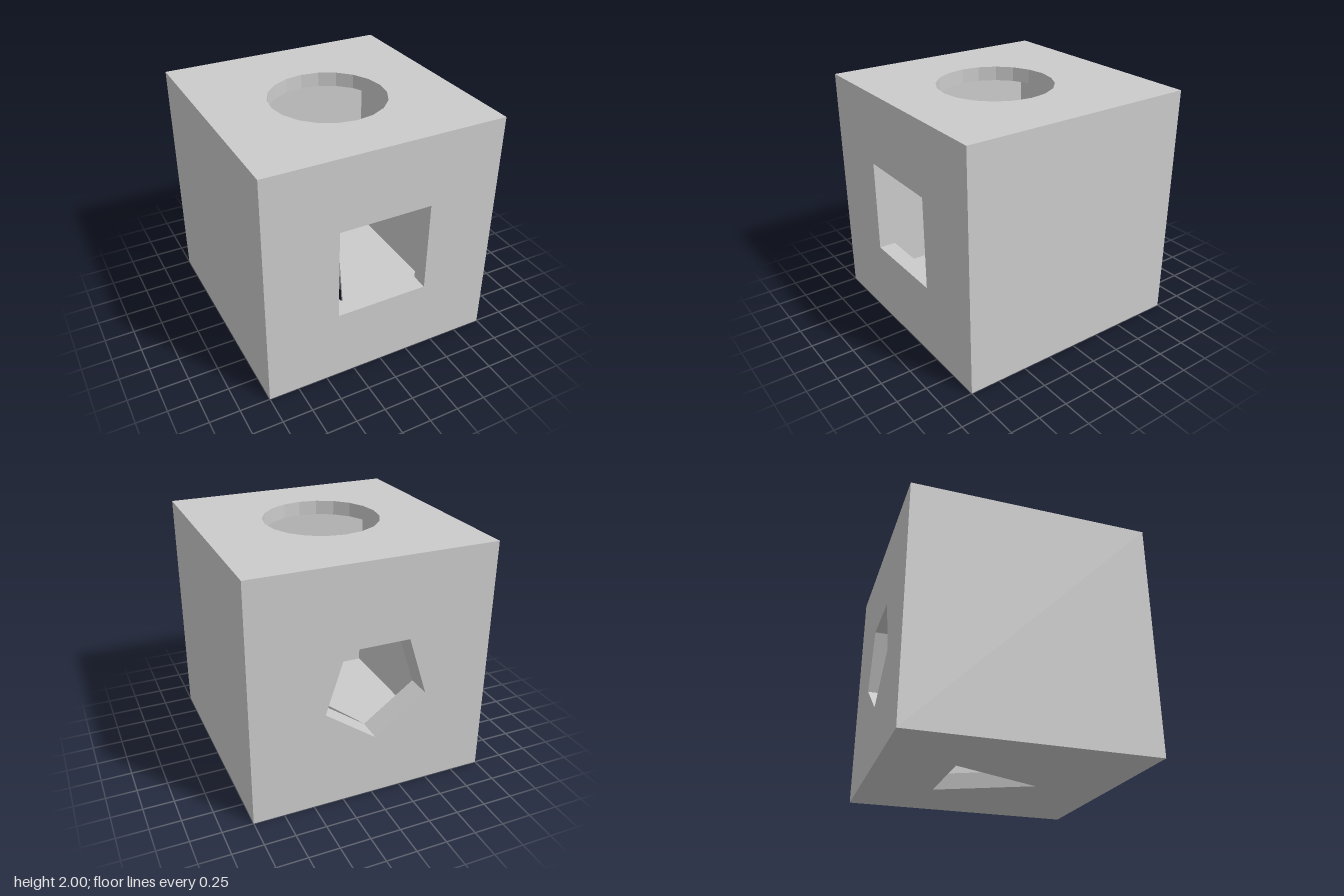
import * as THREE from 'three';
import { mergeGeometries } from 'three/addons/utils/BufferGeometryUtils.js';

// The cavity inside the box: its walls differ slightly in thickness.
const cavity = new THREE.Box3(
  new THREE.Vector3(-0.785, 0.135, -0.795),
  new THREE.Vector3(0.8, 1.88, 0.86)
);

const V = (x, y, z) => new THREE.Vector3(x, y, z);

// Regular polygon in 2D: centre, radius, number of sides, starting angle.
function polygon(cx, cy, r, sides, start) {
  return Array.from({ length: sides }, (_, i) => {
    const a = start + (i / sides) * Math.PI * 2;
    return [cx + r * Math.cos(a), cy + r * Math.sin(a)];
  });
}

function panel(minX, minY, maxX, maxY, z, hole, inward) {
  const shape = new THREE.Shape([
    new THREE.Vector2(minX, minY), new THREE.Vector2(maxX, minY),
    new THREE.Vector2(maxX, maxY), new THREE.Vector2(minX, maxY),
  ]);
  if (hole.length) shape.holes.push(new THREE.Path(hole));
  const geo = new THREE.ShapeGeometry(shape).translate(0, 0, z);
  if (inward) geo.index.array.reverse();
  const flat = geo.toNonIndexed();
  flat.deleteAttribute('uv');
  return flat;
}

// Strip lining a hole from the outer skin down to the inner skin.
function lining(hole, z0, z1) {
  const p = [];
  hole.forEach((a, i) => {
    const b = hole[(i + 1) % hole.length];
    p.push(a.x, a.y, z0, b.x, b.y, z0, b.x, b.y, z1);
    p.push(a.x, a.y, z0, b.x, b.y, z1, a.x, a.y, z1);
  });
  const geo = new THREE.BufferGeometry();
  geo.setAttribute('position', new THREE.Float32BufferAttribute(p, 3));
  geo.computeVertexNormals();
  return geo;
}

// One wall: outer skin, inner skin and the lining of its hole.
function wall(name, u, v, worldHole, material) {
  const frame = new THREE.Matrix4()
    .makeBasis(u, v, u.clone().cross(v)).setPosition(0, 1, 0);
  const toLocal = frame.clone().invert();
  const inner = cavity.clone().applyMatrix4(toLocal);
  const hole = worldHole.map((p) => {
    const q = p.clone().applyMatrix4(toLocal);
    return new THREE.Vector2(q.x, q.y);
  });
  if (hole.length && THREE.ShapeUtils.isClockWise(hole)) hole.reverse();

  const parts = [
    panel(-1, -1, 1, 1, 1, hole, false),
    panel(inner.min.x, inner.min.y, inner.max.x, inner.max.y, inner.max.z, hole, true),
  ];
  if (hole.length) parts.push(lining(hole, 1, inner.max.z));
  const geo = mergeGeometries(parts).applyMatrix4(frame);
  geo.computeVertexNormals();
  const mesh = new THREE.Mesh(geo, material);
  mesh.name = name;
  return mesh;
}

export function createModel() {
  const group = new THREE.Group();
  group.name = 'shapeSorterBox';
  const material = new THREE.MeshStandardMaterial({ color: 0xcccccc, flatShading: true });

  // Hole outlines
  const square = [V(-0.395, 0.615, 0), V(0.388, 0.615, 0), V(0.388, 1.395, 0), V(-0.395, 1.395, 0)];
  const pentagon = polygon(-0.0225, 0.964, 0.4466, 5, -Math.PI / 2).map(([x, y]) => V(x, y, 0));
  const circle = polygon(-0.01, 0.06, 0.48, 20, Math.PI / 2).map(([x, z]) => V(x, 0, z));
  const triangle = [V(-0.343, 0, -0.407), V(0.357, 0, -0.407), V(-0.013, 0, 0.366)];

  const X = V(1, 0, 0), Y = V(0, 1, 0), Z = V(0, 0, 1);
  const nX = V(-1, 0, 0), nZ = V(0, 0, -1);
  group.add(
    wall('frontWallSquareHole', X, Y, square, material),
    wall('backWallPentagonHole', nX, Y, pentagon, material),
    wall('topWallRoundHole', X, nZ, circle, material),
    wall('bottomWallTriangleHole', X, Z, triangle, material),
    wall('leftWall', nZ, Y, [], material),
    wall('rightWall', Z, Y, [], material)
  );
  return group;
}
